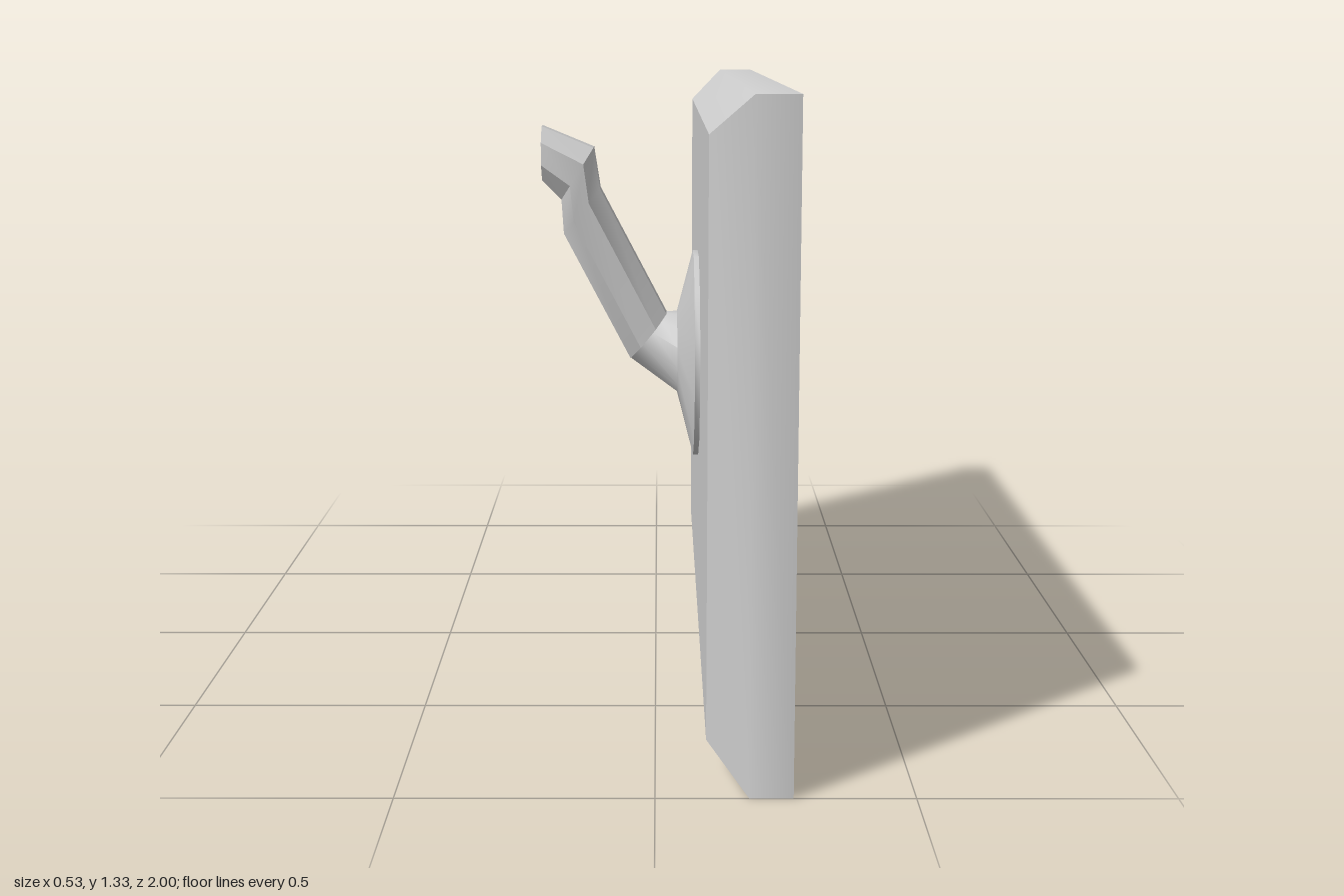
import * as THREE from 'three';
import { toCreasedNormals } from 'three/addons/utils/BufferGeometryUtils.js';

const material = new THREE.MeshStandardMaterial({ color: 0xcccccc });

// Skin a series of point rings; optionally close them and cap the last one.
function loft(rings, { closed = true, cap = false, crease = 0.1 } = {}) {
  const n = rings[0].length;
  const index = [];
  for (let i = 0; i < rings.length - 1; i++) {
    for (let j = 0; j < (closed ? n : n - 1); j++) {
      const k = (j + 1) % n;
      const a = i * n + j, b = i * n + k;
      index.push(a, a + n, b, b, a + n, b + n);
    }
  }
  if (cap) {
    const s = (rings.length - 1) * n;
    for (let j = 1; j < n - 1; j++) index.push(s, s + j + 1, s + j);
  }
  const geometry = new THREE.BufferGeometry();
  geometry.setAttribute('position', new THREE.Float32BufferAttribute(rings.flat(2), 3));
  geometry.setIndex(index);
  return toCreasedNormals(geometry, crease);
}

// Rectangle of corners in a plane of constant x.
const rect = (x, y0, y1, z) => [[x, y0, -z], [x, y0, z], [x, y1, z], [x, y1, -z]];

// Flat-sided oval ring spanning a lower and an upper point, with half width w in z.
function oval([x0, y0, x1, y1, w], n) {
  const s = 1 / Math.cos(Math.PI / n);
  return Array.from({ length: n }, (_, j) => {
    const t = ((j + 0.5) / n) * Math.PI * 2;
    const c = Math.cos(t) * s * 0.5;
    return [(x0 + x1) / 2 + (x1 - x0) * c, (y0 + y1) / 2 + (y1 - y0) * c, -0.022 + w * s * Math.sin(t)];
  });
}

export function createModel() {
  const model = new THREE.Group();
  const add = (name, geometry, parent = model) => {
    const mesh = new THREE.Mesh(geometry, material);
    mesh.name = name;
    parent.add(mesh);
  };

  // Display housing: back panel, four sides with softly shaded chamfers
  const back = rect(0.1, 0.075, 1.255, 0.89);
  const middle = rect(0.18, 0, 1.333, 1);
  const front = rect(0.265, 0, 1.333, 1);
  const housing = new THREE.Group();
  housing.name = 'housing';
  model.add(housing);
  add('backPanel', loft([[...back].reverse()], { cap: true }), housing);
  ['bottomSide', 'leftSide', 'topSide', 'rightSide'].forEach((name, k) => {
    const rows = [back, middle, front].map((r) => [r[k], r[(k + 1) % 4]]);
    add(name, loft(rows, { closed: false, crease: 1.2 }), housing);
  });

  // Bezel with its inner lip, and the recessed screen
  const opening = rect(0.265, 0.07, 1.263, 0.9);
  const recess = rect(0.255, 0.07, 1.263, 0.9);
  add('bezel', loft([front, opening, recess]));
  add('screen', loft([recess], { cap: true }));

  // Flared mounting flange
  const flange = [
    [0.1, 0.455, 0.1, 0.925, 0.262],
    [0.088, 0.455, 0.088, 0.925, 0.262],
    [0.05, 0.6, 0.05, 0.785, 0.103],
    [-0.06, 0.68, 0.025, 0.785, 0.07],
  ];
  add('mountFlange', loft(flange.map((r) => oval(r, 12)), { crease: 0.9 }));

  // Bent support arm with a stubby head
  const arm = [
    [-0.06, 0.68, 0.025, 0.785, 0.07],
    [-0.215, 0.975, -0.13, 1.08, 0.07],
    [-0.22, 1.055, -0.145, 1.175, 0.077],
    [-0.265, 1.1, -0.265, 1.225, 0.062],
  ];
  add('supportArm', loft(arm.map((r) => oval(r, 8)), { cap: true, crease: 0.5 }));

  return model;
}
